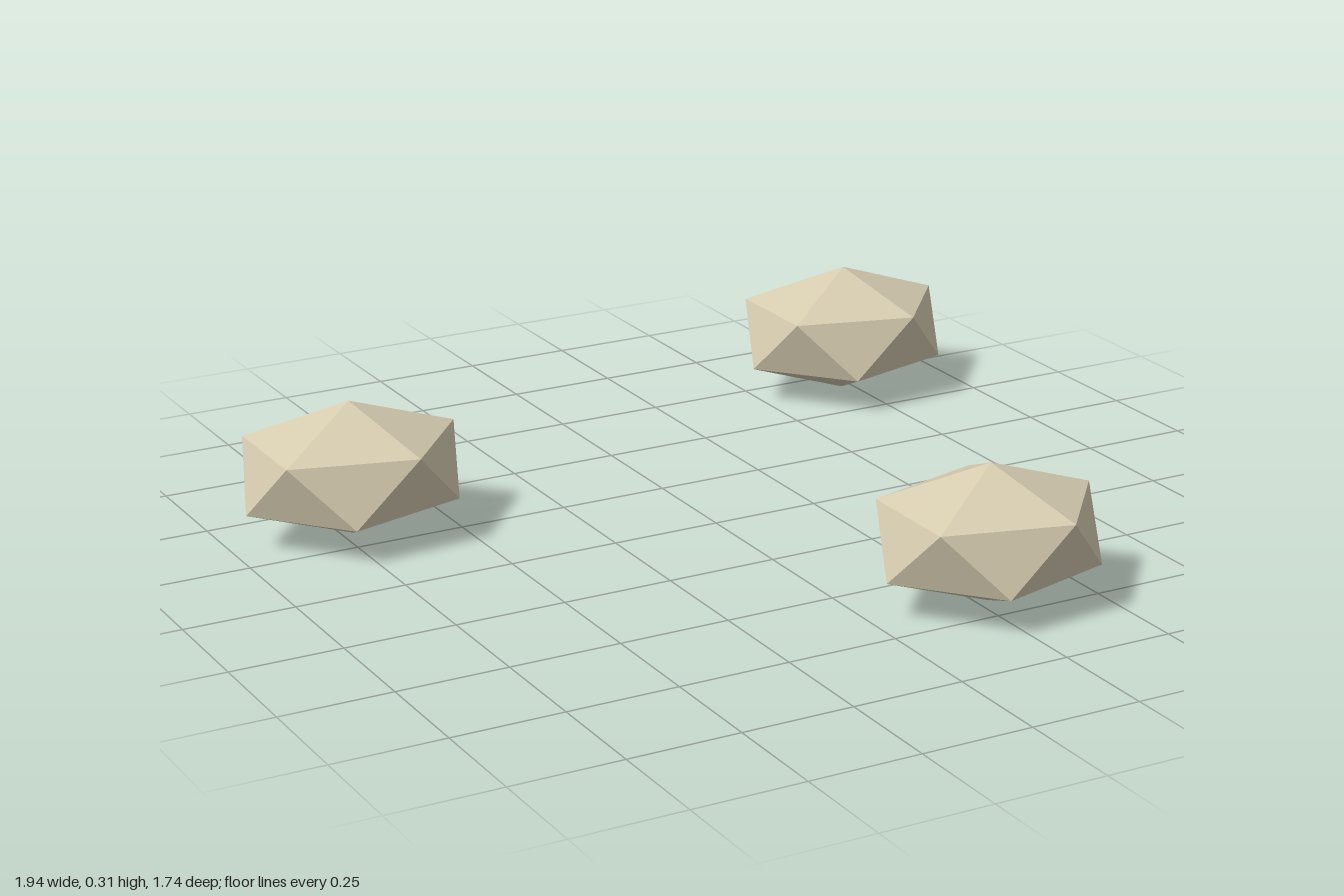
import * as THREE from 'three';

export function createModel() {
  const group = new THREE.Group();
  group.name = 'stones';
  const sand = new THREE.MeshStandardMaterial({ color: 0xd6ccb0 });
  sand.name = 'sand';

  // Faceted pebble: icosahedron tipped to stand on a corner, then flattened
  const height = 0.306;
  const pebble = new THREE.IcosahedronGeometry(1, 0);
  pebble.rotateZ(-Math.atan(2 / (1 + Math.sqrt(5))));
  pebble.scale(0.277, height / 2, 0.237);
  pebble.translate(0, height / 2, 0);

  // Three identical pebbles scattered on the ground
  const places = [
    ['backLeftStone', 0.723, -0.667],
    ['middleRightStone', -0.723, -0.335],
    ['frontStone', 0.277, 0.667],
  ];
  for (const [name, x, z] of places) {
    const stone = new THREE.Mesh(pebble, sand);
    stone.name = name;
    stone.position.set(x, 0, z);
    group.add(stone);
  }
  return group;
}
